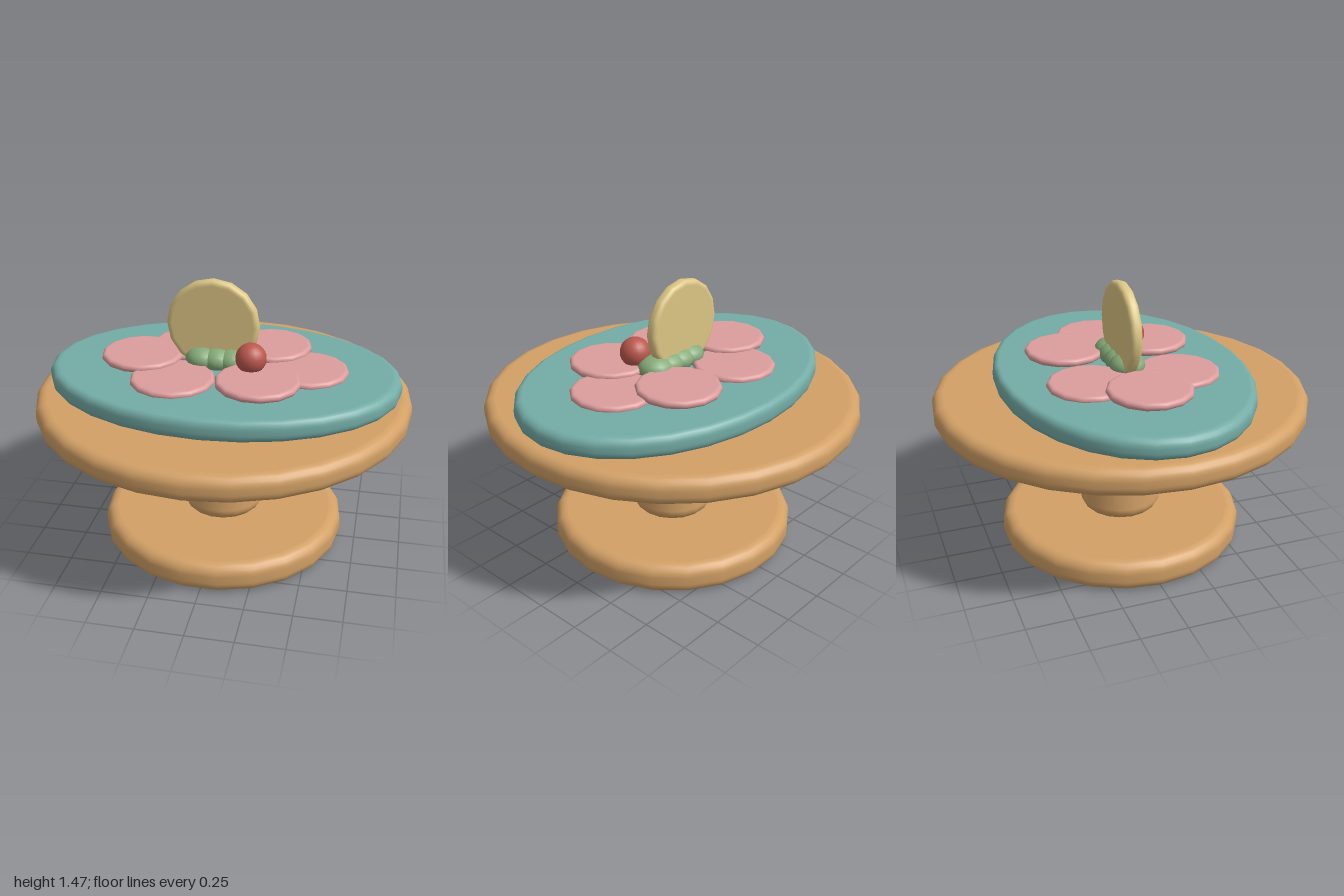
import * as THREE from 'three';

const mat = (color) => new THREE.MeshStandardMaterial({ color });
const wood = mat(0xd2a066), teal = mat(0x74aca6), pink = mat(0xdc9c9c);
const green = mat(0x86ab7a), cream = mat(0xdcc684), red = mat(0xba584e);

// Solid of revolution with rounded rims; the radius may differ at bottom and top
function roundedDisc(rBottom, rTop, height, bevel, sides) {
  const points = [new THREE.Vector2(0, 0), new THREE.Vector2(rBottom - bevel - 0.004, 0)];
  const steps = 5;
  for (let i = 0; i <= steps; i++) {
    const a = (i / steps) * Math.PI / 2;
    points.push(new THREE.Vector2(rBottom - bevel + bevel * Math.sin(a), bevel - bevel * Math.cos(a)));
  }
  for (let i = 0; i <= steps; i++) {
    const a = (i / steps) * Math.PI / 2;
    const y = height - bevel + bevel * Math.sin(a);
    if (i === 0 && y - bevel < 1e-4) continue; // fully round rim
    points.push(new THREE.Vector2(rTop - bevel + bevel * Math.cos(a), y));
  }
  points.push(new THREE.Vector2(rTop - bevel - 0.004, height), new THREE.Vector2(0, height));
  return new THREE.LatheGeometry(points, sides, Math.PI / 2);
}

export function createModel() {
  const model = new THREE.Group();
  const add = (parent, name, geometry, material, x, y, z) => {
    const mesh = new THREE.Mesh(geometry, material);
    mesh.name = name;
    mesh.position.set(x, y, z);
    parent.add(mesh);
    return mesh;
  };

  // Wooden stand
  add(model, 'base', roundedDisc(0.665, 0.665, 0.163, 0.06, 22), wood, 0, 0.005, 0);
  add(model, 'column', roundedDisc(0.222, 0.192, 0.62, 0.075, 18), wood, 0, 0.15, 0);
  add(model, 'tableTop', roundedDisc(1, 1, 0.14, 0.055, 28), wood, 0, 0.752, 0);

  // Oval tray
  const tray = add(model, 'ovalTray', roundedDisc(0.94, 0.94, 0.113, 0.045, 28), teal, 0, 0.89, 0);
  tray.scale.z = 0.705;

  // Ring of petals, alternately low and high
  const petals = new THREE.Group();
  petals.name = 'petals';
  model.add(petals);
  const petalGeometry = roundedDisc(0.22, 0.22, 0.042, 0.02, 14);
  for (let i = 0; i < 6; i++) {
    const a = (i / 6) * Math.PI * 2;
    add(petals, 'petal', petalGeometry, pink,
      0.442 * Math.cos(a), i % 2 ? 1.012 : 0.988, 0.276 * Math.sin(a));
  }

  // Row of flattened green beads in the middle
  const beads = new THREE.Group();
  beads.name = 'beadRow';
  model.add(beads);
  const beadGeometry = new THREE.SphereGeometry(0.094, 16, 12);
  for (let i = 0; i < 4; i++) {
    add(beads, 'bead', beadGeometry, green, -0.113 + i * 0.083, 1.04, 0).scale.y = 0.7;
  }

  // Upright disc and red ball
  const disc = add(model, 'uprightDisc', roundedDisc(0.247, 0.247, 0.064, 0.025, 16), cream, -0.058, 1.227, -0.045);
  disc.rotation.x = Math.PI / 2;
  add(model, 'ball', new THREE.SphereGeometry(0.081, 18, 14), red, 0.165, 1.105, 0.113);

  return model;
}
